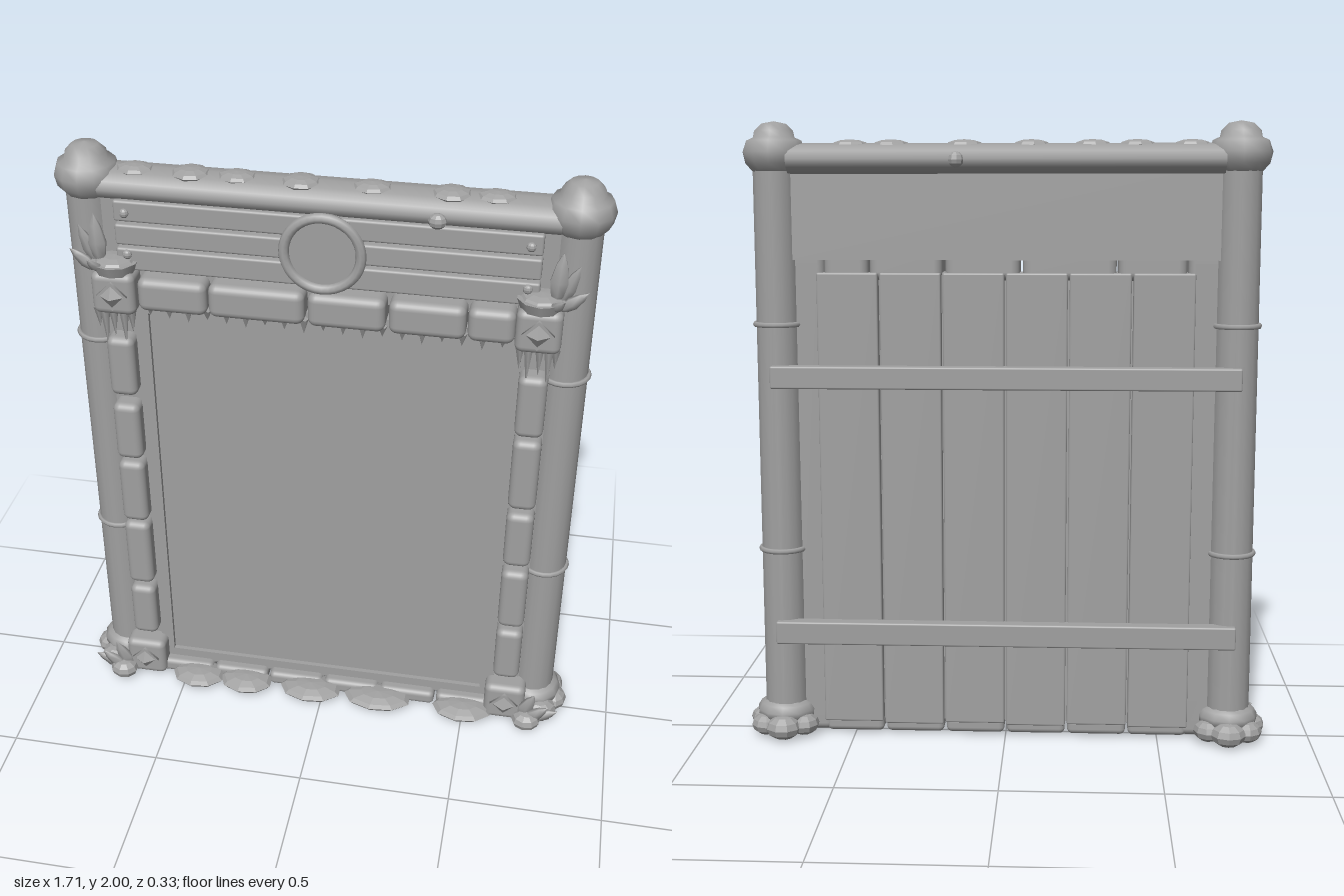
import * as THREE from 'three';
import { RoundedBoxGeometry } from 'three/addons/geometries/RoundedBoxGeometry.js';

const stone = new THREE.MeshStandardMaterial({ color: 0xa0a0a0 });
stone.name = 'plain grey';

export function createModel() {
  const root = new THREE.Group();
  root.name = 'noticeBoard';

  const add = (name, geo, x, y, z, parent = root) => {
    const m = new THREE.Mesh(geo, stone);
    m.name = name;
    m.position.set(x, y, z);
    parent.add(m);
    return m;
  };
  // Box given by its limits on each axis
  const box = (name, x0, x1, y0, y1, z0, z1, r = 0, parent = root) => {
    const w = x1 - x0, h = y1 - y0, d = z1 - z0;
    const geo = r ? new RoundedBoxGeometry(w, h, d, 3, r) : new THREE.BoxGeometry(w, h, d);
    return add(name, geo, (x0 + x1) / 2, (y0 + y1) / 2, (z0 + z1) / 2, parent);
  };
  // Faceted stone with three radii
  const rock = (name, x, y, z, rx, ry, rz, parent = root) => {
    const geo = new THREE.SphereGeometry(1, 9, 6).scale(rx, ry, rz).toNonIndexed();
    geo.computeVertexNormals();
    return add(name, geo, x, y, z, parent);
  };
  // Flat pointed leaf growing from its base
  const leaf = (name, x, y, z, length, width, tiltZ, tiltX, parent) => {
    const pts = [[0, 0], [0.7, 0.2], [1, 0.45], [0.6, 0.78], [0, 1]]
      .map(([r, h]) => new THREE.Vector2(r * width, h * length));
    const m = add(name, new THREE.LatheGeometry(pts, 6).scale(1, 1, 0.6), x, y, z, parent);
    m.rotation.set(tiltX, 0, tiltZ);
    return m;
  };

  // Posts with caps, bands and rocky feet
  const capProfile = [[0.07, 1.845], [0.092, 1.87], [0.1, 1.905], [0.088, 1.94], [0.066, 1.95],
    [0.062, 1.97], [0.04, 1.992], [0, 2]].map(p => new THREE.Vector2(...p));
  const collarProfile = [[0.07, 0.05], [0.098, 0.06], [0.1, 0.085], [0.088, 0.105], [0.07, 0.115]]
    .map(p => new THREE.Vector2(...p));
  for (const s of [-1, 1]) {
    const post = new THREE.Group();
    post.name = s > 0 ? 'leftPost' : 'rightPost';
    post.position.set(s * 0.73, 0, -0.018);
    root.add(post);
    add('postShaft', new THREE.CylinderGeometry(0.069, 0.072, 1.87, 16), 0, 0.95, 0, post);
    add('postCap', new THREE.LatheGeometry(capProfile, 12), 0, 0, 0, post);
    add('postCollar', new THREE.LatheGeometry(collarProfile, 12), 0, 0, 0, post);
    for (const y of [0.63, 1.365]) {
      add('postBand', new THREE.TorusGeometry(0.072, 0.009, 6, 20).rotateX(Math.PI / 2), 0, y, 0, post);
    }
    for (let i = 0; i < 7; i++) {
      const a = i * Math.PI * 2 / 7 + 0.2;
      const k = i % 2 ? 1 : 0.88;
      const r = rock('footRock', s * Math.cos(a) * 0.082, 0.042, Math.sin(a) * 0.092,
        0.052 * k, 0.04 * k, 0.058 * k, post);
      r.rotation.y = -s * a;
    }
  }

  // Top beam with lumps and knots
  add('topBeam', new THREE.CylinderGeometry(1, 1, 1.36, 12).rotateZ(Math.PI / 2)
    .scale(1, 0.05, 0.085), 0, 1.882, -0.022);
  [-0.58, -0.41, -0.27, -0.08, 0.13, 0.36, 0.49].forEach((x, i) =>
    rock('beamLump', x, 1.925, -0.015, 0.06, 0.019, 0.045 + 0.008 * (i % 2)));
  rock('frontKnot', 0.33, 1.873, 0.065, 0.028, 0.024, 0.022);
  rock('backKnot', 0.15, 1.88, -0.102, 0.025, 0.025, 0.022);

  // Header board with three planks and nails
  box('headerBoard', -0.68, 0.68, 1.57, 1.87, -0.055, 0.03);
  for (const [y0, y1] of [[1.785, 1.852], [1.708, 1.775], [1.625, 1.698]]) {
    box('headerPlank', -0.635, 0.635, y0, y1, 0.02, 0.06, 0.008);
  }
  for (const x of [-0.6, 0.6]) for (const y of [1.815, 1.68]) {
    rock('nail', x, y, 0.062, 0.015, 0.015, 0.012);
  }

  // Round medallion with a raised rim
  add('medallionDisc', new THREE.CylinderGeometry(0.12, 0.12, 0.04, 32).rotateX(Math.PI / 2), 0, 1.745, 0.06);
  add('medallionRim', new THREE.TorusGeometry(0.115, 0.016, 8, 36), 0, 1.745, 0.08);

  // Notice panel inside a thin frame
  box('panel', -0.56, 0.56, 0.08, 1.48, -0.03, 0.035);
  for (const s of [-1, 1]) {
    const x = s * 0.575;
    box('frameSide', x - 0.022, x + 0.022, 0.06, 1.5, -0.03, 0.05);
  }
  box('frameTop', -0.6, 0.6, 1.475, 1.53, -0.03, 0.05);
  box('frameBottom', -0.6, 0.6, 0.05, 0.092, -0.03, 0.05);
  for (const s of [-1, 1]) {
    const x = s * 0.64;
    box('sideBacking', x - 0.045, x + 0.045, 0.06, 1.56, -0.045, 0.04);
  }

  // Back planks and cross battens
  for (let i = 0; i < 6; i++) {
    const x = -0.6 + i * 0.2;
    box('backPlank', x + 0.003, x + 0.197, 0.045 + 0.006 * (i % 2), 1.53, -0.068, -0.025, 0.006);
  }
  for (const [y0, y1] of [[1.165, 1.237], [0.325, 0.4]]) {
    box('backBatten', -0.745, 0.745, y0, y1, -0.11, -0.06, 0.006);
  }

  // Stone border: top row, both sides, bottom row
  for (const [x0, x1] of [[-0.57, -0.355], [-0.35, -0.055], [-0.045, 0.19], [0.2, 0.43], [0.435, 0.575]]) {
    box('topStone', x0, x1, 1.505, 1.615, -0.055, 0.1, 0.026);
  }
  const sideRows = {
    '-1': [[1.19, 1.4], [0.945, 1.155], [0.69, 0.93], [0.42, 0.68], [0.19, 0.4]],
    '1': [[1.185, 1.4], [0.91, 1.17], [0.68, 0.89], [0.42, 0.655], [0.19, 0.4]],
  };
  for (const s of [-1, 1]) for (const [y0, y1] of sideRows[s]) {
    const x = s * 0.64;
    box('sideStone', x - 0.044, x + 0.044, y0, y1, -0.02, 0.1, 0.024);
  }
  for (let i = 0; i < 6; i++) {
    const x = -0.6 + i * 0.2;
    box('bottomStone', x + 0.004, x + 0.196, 0.008, 0.06, -0.045, 0.085, 0.018);
  }
  for (const [x, w] of [[-0.45, 0.095], [-0.275, 0.095], [-0.04, 0.11], [0.2, 0.12], [0.5, 0.105]]) {
    rock('groundStone', x, 0.032, 0.1, w, 0.026, 0.07);
  }

  // Small teeth hanging under the top stones
  for (let i = 0; i < 19; i++) {
    const h = 0.035 + 0.015 * ((i * 7) % 3) / 2;
    add('tooth', new THREE.ConeGeometry(0.016, h, 5).rotateX(Math.PI), -0.54 + i * 0.06, 1.515 - h / 2, 0.065);
  }

  // Corner blocks with diamonds, leaves and hanging spikes
  const diamond = (y, g) => {
    add('diamondPlate', new THREE.CylinderGeometry(0.048, 0.048, 0.014, 4).rotateX(Math.PI / 2), 0, y, 0.112, g);
    add('diamond', new THREE.OctahedronGeometry(0.036).scale(1, 1, 0.7), 0, y, 0.119, g);
  };
  for (const s of [-1, 1]) {
    const top = new THREE.Group();
    top.name = s > 0 ? 'leftTopCorner' : 'rightTopCorner';
    top.position.x = s * 0.643;
    root.add(top);
    box('cornerBlock', -0.068, 0.068, 1.49, 1.63, -0.045, 0.11, 0.024, top);
    add('cornerCup', new THREE.CylinderGeometry(0.075, 0.062, 0.035, 10), 0, 1.64, 0.055, top);
    rock('cornerCupTop', 0, 1.655, 0.055, 0.065, 0.018, 0.065, top);
    diamond(1.56, top);
    leaf('tallLeaf', s * 0.04, 1.64, 0.07, 0.17, 0.03, -s * 0.06, 0, top);
    leaf('innerLeaf', s * 0.05, 1.63, 0.055, 0.15, 0.024, -s * 0.35, 0.1, top);
    leaf('outerLeaf', s * 0.05, 1.62, 0.07, 0.11, 0.022, -s * 0.85, 0.1, top);
    leaf('frontLeaf', s * 0.03, 1.63, 0.09, 0.07, 0.02, -s * 0.5, 0.6, top);
    [[-0.05, 0.08], [-0.025, 0.13], [0.008, 0.1], [0.035, 0.14], [0.055, 0.07]].forEach(([x, h]) =>
      add('hangingSpike', new THREE.ConeGeometry(0.016, h, 6).rotateX(Math.PI), s * x, 1.505 - h / 2, 0.085, top));

    const low = new THREE.Group();
    low.name = s > 0 ? 'leftBottomCorner' : 'rightBottomCorner';
    low.position.x = s * 0.643;
    root.add(low);
    box('cornerBlock', -0.07, 0.07, 0.01, 0.155, -0.045, 0.11, 0.024, low);
    diamond(0.085, low);
    leaf('footLeaf', s * 0.055, 0.02, 0.1, 0.14, 0.028, -s * 0.35, 0.15, low);
    leaf('footLeaf', s * 0.07, 0.02, 0.11, 0.12, 0.028, -s * 0.75, 0.2, low);
    leaf('footLeaf', s * 0.08, 0.02, 0.1, 0.12, 0.026, -s * 1.1, 0.1, low);
    rock('footPebble', s * 0.08, 0.035, 0.12, 0.05, 0.034, 0.045, low);
  }
  return root;
}
